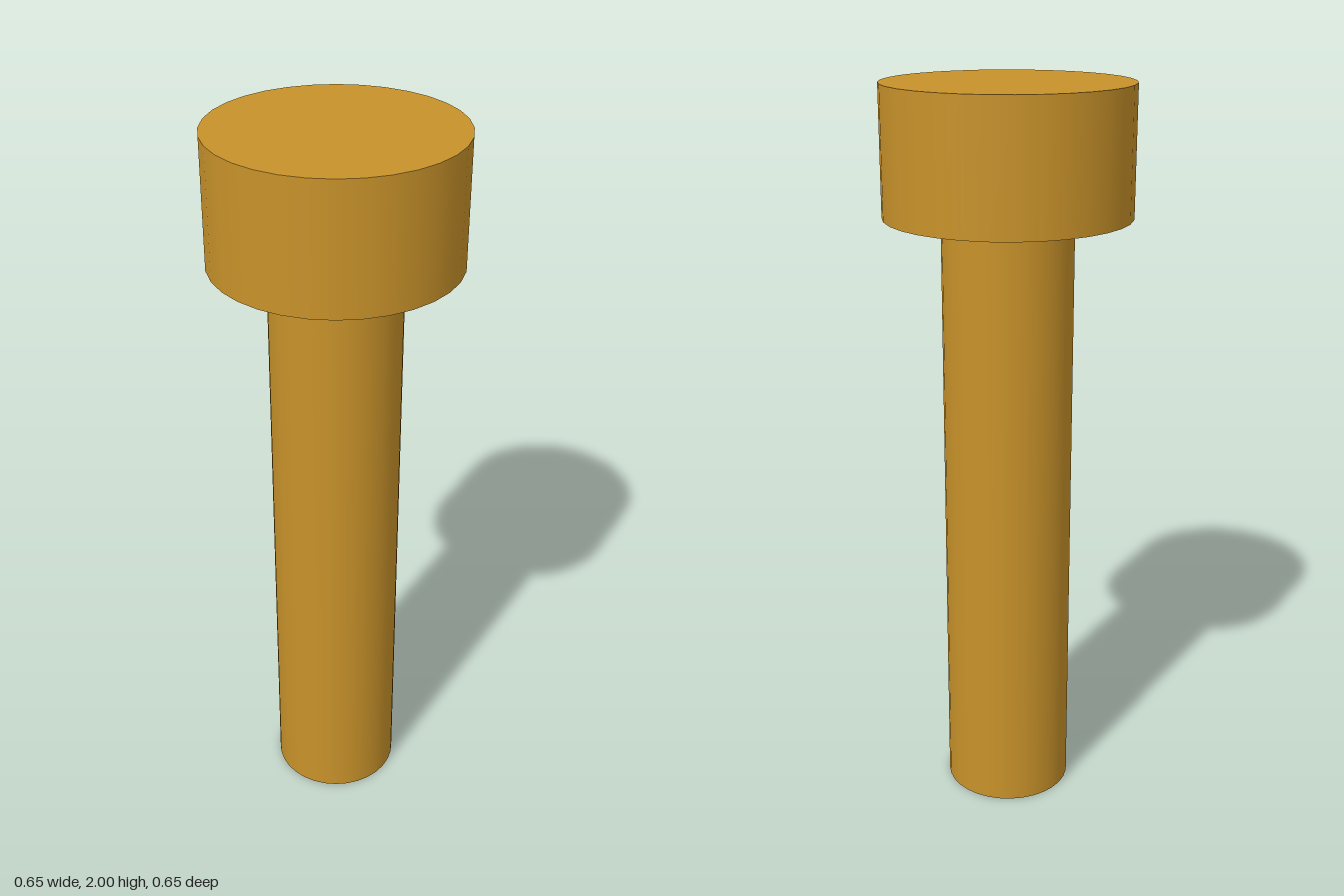
import * as THREE from 'three';

const SIDES = 32;
const SHAFT_RADIUS = 0.175;
const HEAD_RADIUS = 0.327;
const HEAD_BASE = 1.66;
const TOP = 2;

export function createModel() {
  const model = new THREE.Group();
  model.name = 'pin';
  const brass = new THREE.MeshStandardMaterial({ color: 0xc8922a });

  // Upright cylinder spanning two heights
  function addCylinder(name, radius, bottom, top) {
    const geometry = new THREE.CylinderGeometry(radius, radius, top - bottom, SIDES);
    const mesh = new THREE.Mesh(geometry, brass);
    mesh.name = name;
    mesh.position.y = (bottom + top) / 2;
    model.add(mesh);
  }

  // Long plain shaft
  addCylinder('shaft', SHAFT_RADIUS, 0, HEAD_BASE);
  // Wide flat-topped head
  addCylinder('head', HEAD_RADIUS, HEAD_BASE, TOP);

  return model;
}
